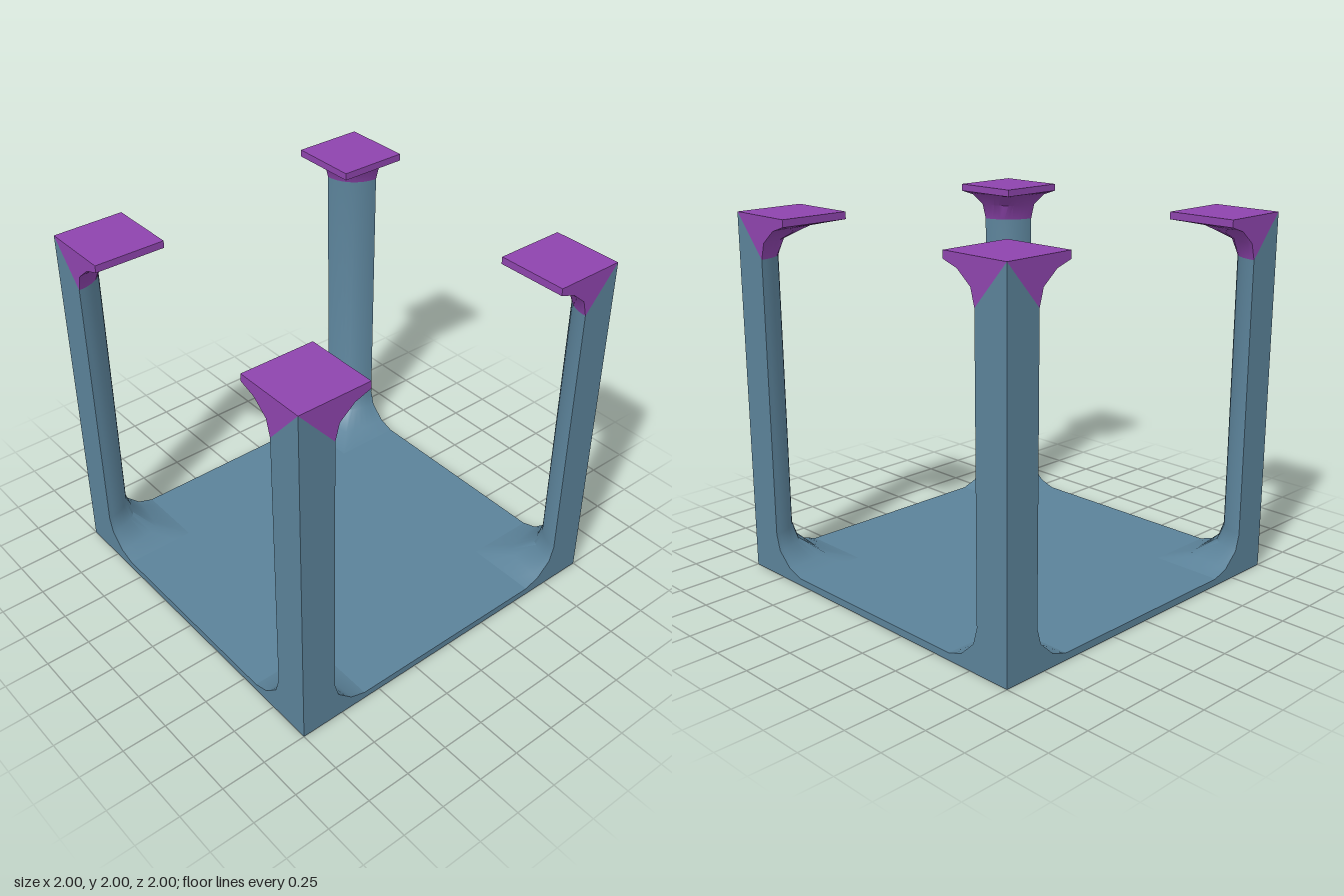
import * as THREE from 'three';
import { toCreasedNormals } from 'three/addons/utils/BufferGeometryUtils.js';

const blue = new THREE.MeshStandardMaterial({ color: 0x5b8299, side: THREE.DoubleSide });
const purple = new THREE.MeshStandardMaterial({ color: 0x8e44ad, side: THREE.DoubleSide });

// Flare profiles: [distance from the outer edge, height], bottom to top
const foot = [[0.4, 0.04], [0.31, 0.07], [0.225, 0.15], [0.2, 0.24]];
const capital = [[0.2, 1.77], [0.225, 1.86], [0.31, 1.93], [0.4, 1.96], [0.4, 2]];

// Quarter-round surface about the corner (-1, -1); it turns from round to square as it widens
function cornerLoft(profile, segments = 12) {
  const positions = [], index = [], row = segments + 1;
  profile.forEach(([r, y], i) => {
    const squareness = (r - 0.2) / 0.2;
    for (let j = 0; j <= segments; j++) {
      const a = (j / segments) * Math.PI / 2;
      const c = Math.cos(a), s = Math.sin(a);
      const d = THREE.MathUtils.lerp(r, r / Math.max(c, s), squareness);
      positions.push(-1 + d * c, y, -1 + d * s);
      if (i > 0 && j < segments) {
        const p = (i - 1) * row + j, q = p + row;
        index.push(p, q, p + 1, p + 1, q, q + 1);
      }
    }
  });
  const g = new THREE.BufferGeometry();
  g.setAttribute('position', new THREE.Float32BufferAttribute(positions, 3));
  g.setIndex(index);
  return toCreasedNormals(g, 0.7);
}

// Flat outline standing in the outer plane z = 1
function sideFace(points) {
  const shape = new THREE.Shape(points.map(([x, y]) => new THREE.Vector2(x, y)));
  return new THREE.ShapeGeometry(shape).translate(0, 0, 1);
}

function add(parent, name, geometry, material) {
  const mesh = new THREE.Mesh(geometry, material);
  mesh.name = name;
  parent.add(mesh);
}

export function createModel() {
  const model = new THREE.Group();
  model.name = 'cornerPostFrame';

  // Floor slab
  add(model, 'floorTop', new THREE.PlaneGeometry(2, 2).rotateX(-Math.PI / 2).translate(0, 0.04, 0), blue);
  add(model, 'floorUnderside', new THREE.PlaneGeometry(2, 2).rotateX(Math.PI / 2), blue);

  // U-shaped outline of slab edge and two posts
  const right = [[1, 0], [1, 2], [0.8, 1.77], ...foot.slice().reverse().map(([r, y]) => [1 - r, y])];
  const left = right.map(([x, y]) => [-x, y]).reverse();
  const frameFace = sideFace([...right, ...left]);

  // Capital outline, coplanar with the frame
  const capOutline = [[1, 2], ...capital.map(([r, y]) => [1 - r, y])];
  const capRight = sideFace(capOutline);
  const capLeft = sideFace(capOutline.map(([x, y]) => [-x, y]));

  const post = cornerLoft([...foot, capital[0]]);
  const flare = cornerLoft(capital);
  const plateTop = new THREE.PlaneGeometry(0.4, 0.4).rotateX(-Math.PI / 2).translate(-0.8, 2, -0.8);

  // Four identical sides and corners
  for (let k = 0; k < 4; k++) {
    const corner = new THREE.Group();
    corner.name = 'corner' + (k + 1);
    corner.rotation.y = k * Math.PI / 2;
    add(corner, 'frameSide', frameFace, blue);
    add(corner, 'post', post, blue);
    add(corner, 'capitalFlare', flare, purple);
    add(corner, 'capitalTop', plateTop, purple);
    add(corner, 'capitalSideA', capRight, purple);
    add(corner, 'capitalSideB', capLeft, purple);
    model.add(corner);
  }
  return model;
}
